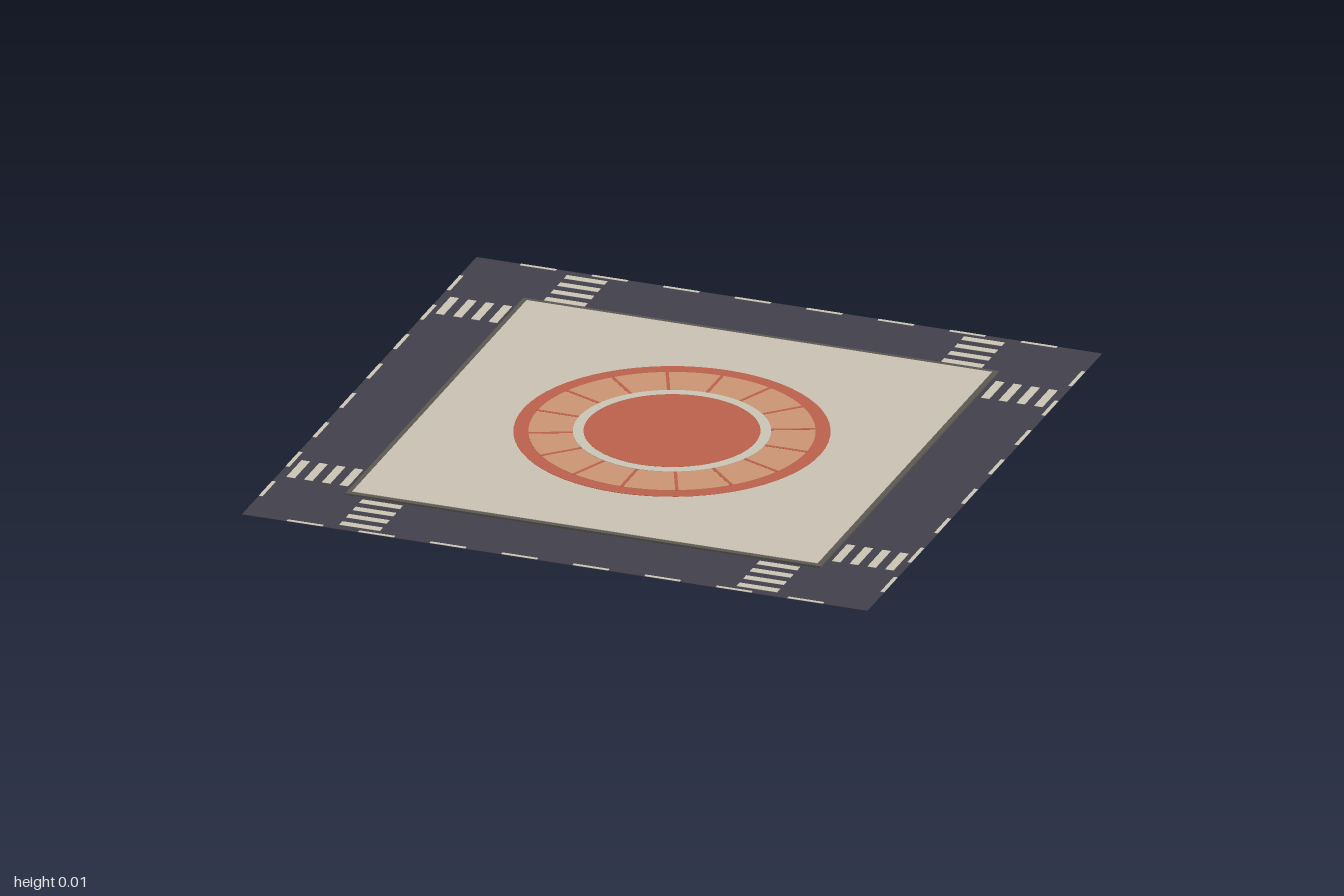
import * as THREE from 'three';

const mat = (name, color) => {
  const m = new THREE.MeshStandardMaterial({ color });
  m.name = name;
  return m;
};

export function createModel() {
  const asphalt = mat('asphalt', 0x41404c);
  const paint = mat('road paint', 0xcac4b4);
  const stone = mat('plaza stone', 0xc8c1b3);
  const curbGrey = mat('curb grey', 0x5c5852);
  const brick = mat('brick red', 0xbb614b);
  const clay = mat('light clay', 0xcb9473);
  const pale = mat('pale stone', 0xc8c5b5);

  const model = new THREE.Group();
  model.name = 'plazaTile';

  // slab standing between heights y0 and y1
  const slab = (name, material, w, d, y0, y1, x = 0, z = 0, parent = model) => {
    const mesh = new THREE.Mesh(new THREE.BoxGeometry(w, y1 - y0, d), material);
    mesh.name = name;
    mesh.position.set(x, (y0 + y1) / 2, z);
    parent.add(mesh);
    return mesh;
  };
  const disc = (name, material, r, y0, y1) => {
    const mesh = new THREE.Mesh(new THREE.CylinderGeometry(r, r, y1 - y0, 64), material);
    mesh.name = name;
    mesh.position.y = (y0 + y1) / 2;
    model.add(mesh);
  };
  // flat ring with a hole, lying on the plaza
  const ring = (name, material, inner, outer, y0, y1) => {
    const shape = new THREE.Shape().absarc(0, 0, outer, 0, Math.PI * 2);
    shape.holes.push(new THREE.Path().absarc(0, 0, inner, 0, Math.PI * 2, true));
    const geo = new THREE.ExtrudeGeometry(shape, { depth: y1 - y0, bevelEnabled: false, curveSegments: 64 });
    geo.rotateX(-Math.PI / 2);
    const mesh = new THREE.Mesh(geo, material);
    mesh.name = name;
    mesh.position.y = y0;
    model.add(mesh);
  };

  // road surface, curb and raised plaza
  slab('road', asphalt, 2, 2, 0, 0.001);
  slab('curb', curbGrey, 1.52, 1.52, 0.001, 0.007);
  slab('plaza', stone, 1.488, 1.488, 0.007, 0.0085);

  // road markings, repeated on each of the four sides
  for (let side = 0; side < 4; side++) {
    const markings = new THREE.Group();
    markings.name = 'roadMarkings';
    markings.rotation.y = side * Math.PI / 2;
    model.add(markings);
    for (const s of [-1, 1]) {
      for (let i = 0; i < 4; i++) {
        slab('crosswalkStripe', paint, 0.13, 0.027, 0.001, 0.002, s * 0.635, 0.787 + i * 0.0567, markings);
      }
    }
    for (let i = 0; i < 8; i++) {
      slab('laneDash', paint, 0.114, 0.012, 0.001, 0.002, (i - 3.5) * 0.2286, 0.994, markings);
    }
  }

  // round paving pattern
  disc('pavingBase', brick, 0.475, 0.008, 0.0095);
  ring('pavingRing', clay, 0.28, 0.43, 0.0095, 0.0104);
  ring('paleRing', pale, 0.262, 0.297, 0.0095, 0.0115);
  disc('pavingCentre', brick, 0.265, 0.0095, 0.012);

  // sixteen joints across the paving ring
  for (let i = 0; i < 16; i++) {
    const a = i * Math.PI / 8;
    const joint = slab('pavingJoint', brick, 0.14, 0.01, 0.0104, 0.0112, Math.cos(a) * 0.363, -Math.sin(a) * 0.363);
    joint.rotation.y = a;
  }
  return model;
}
